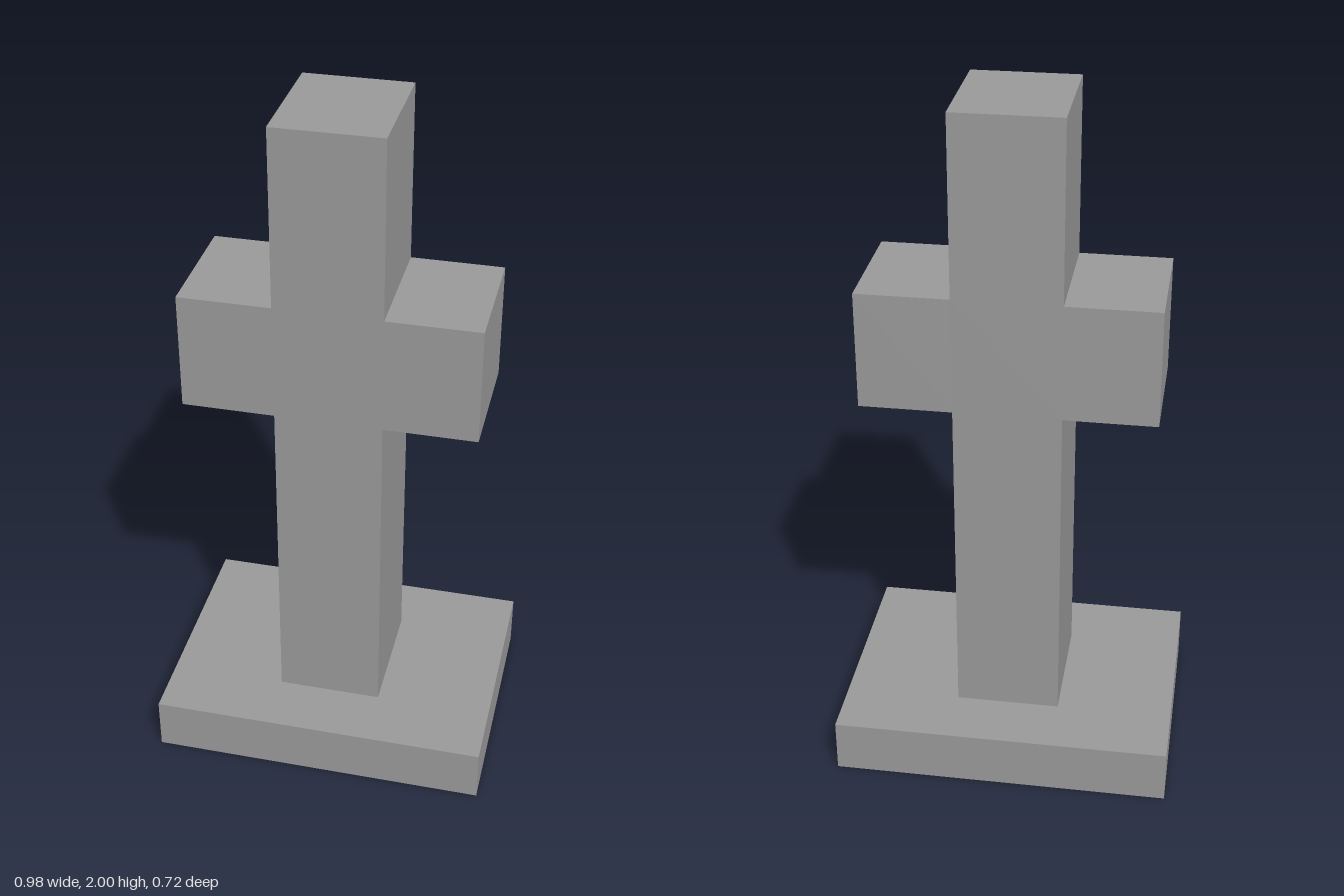
import * as THREE from 'three';

export function createModel() {
  const group = new THREE.Group();
  const stone = new THREE.MeshStandardMaterial({ color: 0x999999, side: THREE.DoubleSide });
  stone.name = 'grey stone';

  // Upright and crossbar: one extruded outline, mirrored left to right
  const half = [[0.152, 0], [0.152, 1.148], [0.416, 1.148], [0.416, 1.488], [0.152, 1.488], [0.152, 2]];
  const mirrored = half.map(([x, y]) => [-x, y]).reverse();
  const outline = new THREE.Shape([...half, ...mirrored].map(([x, y]) => new THREE.Vector2(x, y)));
  const depth = 0.362;
  const crossGeometry = new THREE.ExtrudeGeometry(outline, { depth, bevelEnabled: false });
  crossGeometry.translate(0, 0, -depth / 2);
  const cross = new THREE.Mesh(crossGeometry, stone);
  cross.name = 'cross';
  group.add(cross);

  // Base: a thin-walled slab, open underneath
  const baseHeight = 0.16;
  const baseGeometry = new THREE.BoxGeometry(0.984, baseHeight, 0.722);
  const faces = Array.from(baseGeometry.index.array);
  faces.splice(18, 6); // drop the bottom face
  baseGeometry.setIndex(faces);
  baseGeometry.clearGroups();
  baseGeometry.translate(0, baseHeight / 2, 0);
  const base = new THREE.Mesh(baseGeometry, stone);
  base.name = 'base';
  group.add(base);

  return group;
}
